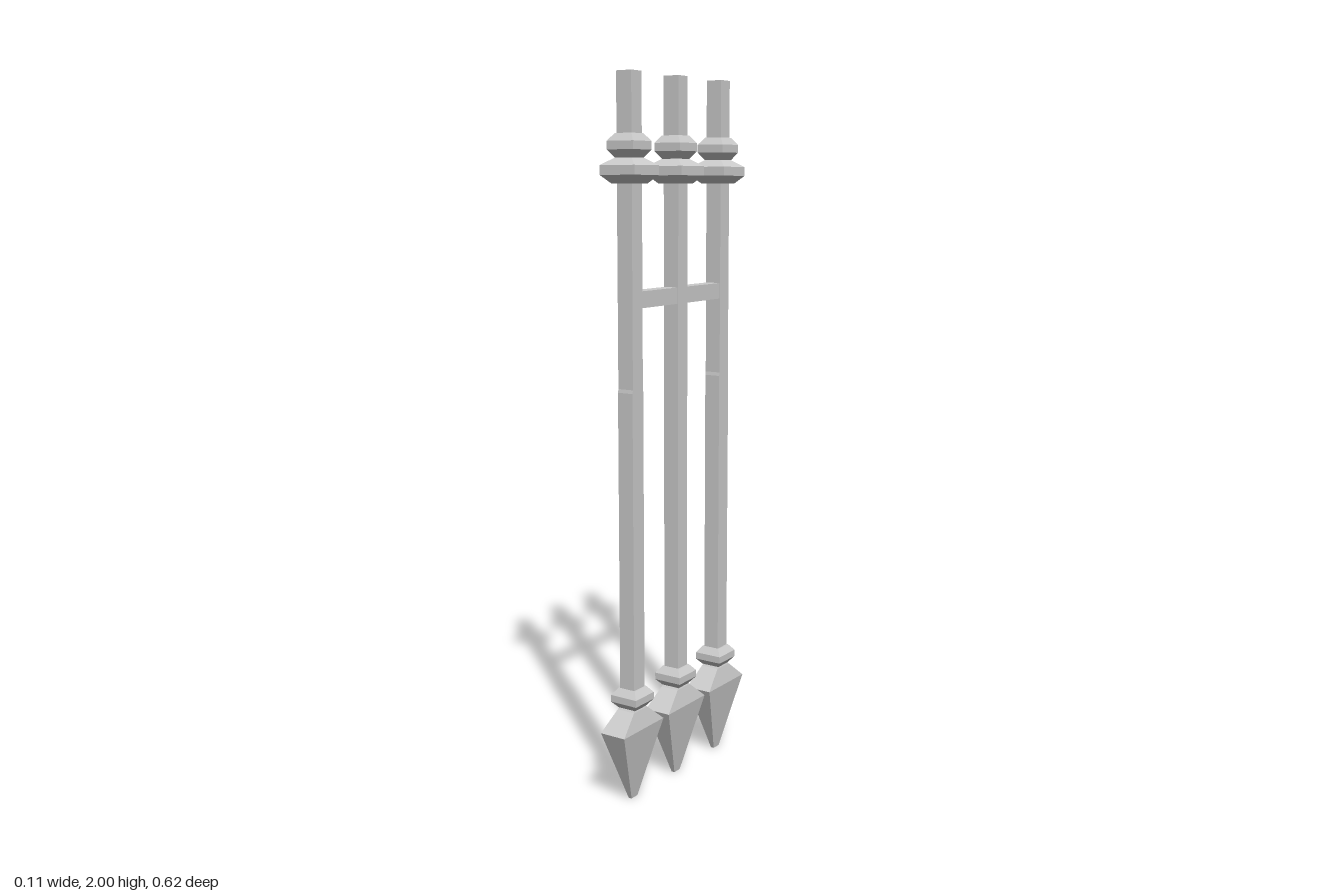
import * as THREE from 'three';

const material = new THREE.MeshStandardMaterial({ color: 0xcccccc, flatShading: true });
const CORNERS = [[1, 1], [1, -1], [-1, -1], [-1, 1]];

// Closed four-sided solid through rectangular sections [y, halfX, halfZ], bottom to top
function loft(name, sections) {
  const pos = [];
  const index = [];
  for (const [y, hx, hz = hx] of sections) {
    for (const [sx, sz] of CORNERS) pos.push(sx * hx, y, sz * hz);
  }
  for (let s = 0; s < sections.length - 1; s++) {
    for (let i = 0; i < 4; i++) {
      const a = s * 4 + i;
      const b = s * 4 + (i + 1) % 4;
      index.push(a, b, b + 4, a, b + 4, a + 4);
    }
  }
  const t = (sections.length - 1) * 4;
  index.push(0, 2, 1, 0, 3, 2, t, t + 1, t + 2, t, t + 2, t + 3);
  const indexed = new THREE.BufferGeometry();
  indexed.setAttribute('position', new THREE.Float32BufferAttribute(pos, 3));
  indexed.setIndex(index);
  const geometry = indexed.toNonIndexed();
  geometry.computeVertexNormals();
  const mesh = new THREE.Mesh(geometry, material);
  mesh.name = name;
  return mesh;
}

// One downward-pointing bar; the outer bars are slightly thicker low down
function createSpear(name, lowerHalf) {
  const spear = new THREE.Group();
  spear.name = name;
  spear.add(
    loft('shaft', [[0.26, 0.024, lowerHalf], [1.16, 0.024, lowerHalf], [1.17, 0.024, 0.023], [2, 0.024, 0.023]]),
    // Flat arrowhead with a blunt tip and sloping shoulders
    loft('spearhead', [[0, 0.005, 0.014], [0.213, 0.04, 0.095], [0.265, 0.028, 0.032], [0.275, 0.024]]),
    loft('lowerCollar', [[0.268, 0.026], [0.288, 0.043], [0.308, 0.043], [0.327, 0.028]]),
    loft('upperCollar', [[1.713, 0.034], [1.735, 0.056], [1.76, 0.056], [1.78, 0.026]]),
    loft('upperKnob', [[1.778, 0.026], [1.8, 0.042], [1.822, 0.042], [1.842, 0.027]]),
  );
  return spear;
}

export function createModel() {
  const model = new THREE.Group();
  model.name = 'spearRailing';

  // Row of three spears along z
  for (const [name, z] of [['backSpear', -0.217], ['middleSpear', 0], ['frontSpear', 0.217]]) {
    const spear = createSpear(name, z === 0 ? 0.023 : 0.025);
    spear.position.z = z;
    model.add(spear);
  }

  // Crossbar joining the shafts
  const crossbar = new THREE.Mesh(new THREE.BoxGeometry(0.044, 0.045, 0.4), material);
  crossbar.name = 'crossbar';
  crossbar.position.y = 1.408;
  model.add(crossbar);

  return model;
}
